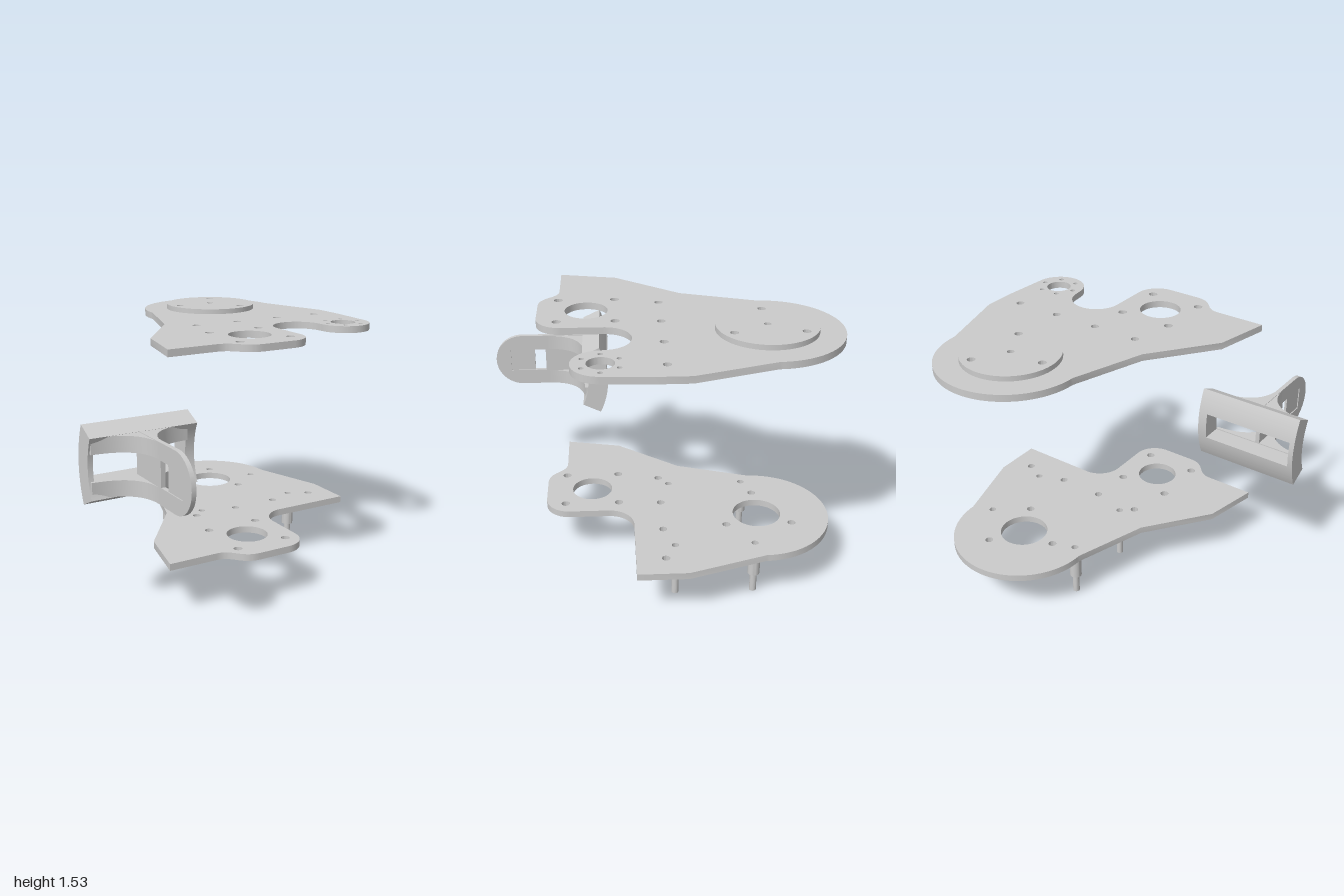
import * as THREE from 'three';
import { toCreasedNormals } from 'three/addons/utils/BufferGeometryUtils.js';

const PI = Math.PI;
const material = new THREE.MeshStandardMaterial({ color: 0xcccccc });

function add(parent, name, geometry) {
  const mesh = new THREE.Mesh(toCreasedNormals(geometry, 0.5), material);
  mesh.name = name;
  parent.add(mesh);
  return mesh;
}

// Shape drawn in (x, z), thickened downwards from yTop
function slab(shape, yTop, thickness) {
  return new THREE.ExtrudeGeometry(shape, { depth: thickness, bevelEnabled: false, curveSegments: 32 })
    .rotateX(PI / 2).translate(0, yTop, 0);
}

// Shape drawn in (z, y), spanning x0 to x1
function sideSlab(shape, x0, x1) {
  return new THREE.ExtrudeGeometry(shape, { depth: x1 - x0, bevelEnabled: false, curveSegments: 32 })
    .rotateY(-PI / 2).translate(x1, 0, 0);
}

function hole(shape, x, y, r) {
  shape.holes.push(new THREE.Path().absarc(x, y, r, 0, 2 * PI, true));
}

function rect(x0, y0, x1, y1) {
  return [[x0, y0], [x1, y0], [x1, y1], [x0, y1]].map(p => new THREE.Vector2(...p));
}

const hub = [0.37, -0.58];
const hubHoles = [1, 3, 5].map(k => [hub[0] + 0.22 * Math.cos(k * PI / 3), hub[1] + 0.22 * Math.sin(k * PI / 3)]);
const posts = [[0.02, -0.08], [0.67, -0.08], [0.02, -0.53], [0.67, -0.53]];

// Plate outline; the upper plate carries an extra round lobe
function plateShape(withLobe) {
  const s = new THREE.Shape();
  s.moveTo(-0.54, 0.55);
  s.lineTo(-0.47, 0.22);
  s.lineTo(-0.19, -0.15);
  s.lineTo(-0.05, -0.58);
  s.absarc(hub[0], hub[1], 0.42, PI, 2 * PI, false);
  s.lineTo(0.93, -0.14);
  if (withLobe) {
    s.lineTo(0.93, 0.05);
    s.lineTo(0.915, 0.31);
    s.absarc(0.76, 0.31, 0.155, 0, PI, false);
    s.absarc(0.4525, 0.295, 0.15, 0, PI, true);
  } else {
    s.lineTo(0.93, 0.145);
    s.absarc(0.4525, 0.295, 0.15, -PI / 2, -PI, true);
  }
  s.absarc(0.1625, 0.525, 0.14, 0, PI / 2, false);
  s.lineTo(-0.03, 0.665);
  s.bezierCurveTo(-0.16, 0.665, -0.14, 0.55, -0.25, 0.55);
  s.closePath();

  hole(s, 0.055, 0.39, 0.12);
  hole(s, hub[0], hub[1], 0.14);
  for (const x of [-0.05, 0.23, 0.51, 0.79]) hole(s, x, -0.02, 0.023);
  for (const x of [-0.108, 0.215]) for (const z of [0.23, 0.55]) hole(s, x, z, 0.025);
  for (const [x, z] of hubHoles) hole(s, x, z, 0.023);
  if (withLobe) {
    hole(s, 0.76, 0.31, 0.073);
    for (let k = 0; k < 6; k++) {
      hole(s, 0.76 + 0.11 * Math.cos(k * PI / 3), 0.31 + 0.11 * Math.sin(k * PI / 3), 0.014);
    }
  } else {
    for (const [x, z] of posts) hole(s, x, z, 0.02);
  }
  return s;
}

// Ring sector in (z, y) between inner and outer radius
function sectorShape(innerFrom, outerFrom, to) {
  const pts = [], n = 16;
  const at = (r, a) => new THREE.Vector2(0.79 - r * Math.cos(a), 0.89 + r * Math.sin(a));
  for (let i = 0; i <= n; i++) pts.push(at(0.51, outerFrom + (to - outerFrom) * i / n));
  for (let i = n; i >= 0; i--) pts.push(at(0.39, innerFrom + (to - innerFrom) * i / n));
  return new THREE.Shape(pts);
}

function createBracket() {
  const bracket = new THREE.Group();
  bracket.name = 'bracket';
  const A = 0.445, ribX = -0.6425;
  const ai = Math.asin(0.08 / 0.39), ao = Math.asin(0.08 / 0.51);

  // Curved frame: two rails and two end walls around the window
  for (const [name, sign] of [['upperRail', 1], ['lowerRail', -1]]) {
    add(bracket, name, sideSlab(sectorShape(sign * ai, sign * ao, sign * A), -0.935, -0.305));
  }
  const wall = sectorShape(-ai, -ao, ai);
  wall.setFromPoints(sectorShape(-ai, -ao, ao).getPoints());
  add(bracket, 'closedEndWall', sideSlab(wall, -0.935, -0.905));
  const drilled = wall.clone();
  hole(drilled, 0.34, 0.89, 0.037);
  add(bracket, 'drilledEndWall', sideSlab(drilled, -0.36, -0.305));

  // Thin upright rib with a round nose, a slot and a recessed panel
  const rib = new THREE.Shape();
  rib.moveTo(0.41, 0.725);
  rib.lineTo(0.832, 0.725);
  rib.absarc(0.832, 0.8925, 0.1675, -PI / 2, PI / 2, false);
  rib.lineTo(0.43, 1.06);
  rib.lineTo(0.405, 0.95);
  rib.lineTo(0.405, 0.83);
  rib.closePath();
  rib.holes.push(new THREE.Path(rect(0.68, 0.82, 0.905, 0.965)));
  add(bracket, 'rib', sideSlab(rib, ribX - 0.013, ribX + 0.013));
  add(bracket, 'ribPanel', sideSlab(new THREE.Shape(rect(0.75, 0.82, 0.905, 0.965)), ribX - 0.007, ribX + 0.007));

  // Flares sweeping from the rails into the rib
  const flare = new THREE.Shape();
  flare.moveTo(-0.925, 0.405);
  flare.lineTo(-0.925, 0.425);
  flare.bezierCurveTo(-0.76, 0.43, -0.66, 0.5, ribX - 0.013, 0.66);
  flare.lineTo(ribX + 0.013, 0.66);
  flare.bezierCurveTo(-0.625, 0.5, -0.525, 0.43, -0.36, 0.425);
  flare.lineTo(-0.36, 0.405);
  flare.closePath();
  add(bracket, 'upperFlare', slab(flare, 1.057, 0.09));
  add(bracket, 'lowerFlare', slab(flare, 0.816, 0.09));
  return bracket;
}

export function createModel() {
  const model = new THREE.Group();
  model.name = 'plateAssembly';

  add(model, 'upperPlate', slab(plateShape(true), 1.5, 0.04));
  add(model, 'lowerPlate', slab(plateShape(false), 0.325, 0.04));

  // Round cover over the hub opening, with a blind centre hole
  const cover = new THREE.Shape().absarc(hub[0], hub[1], 0.28, 0, 2 * PI, false);
  for (const [x, z] of hubHoles) hole(cover, x, z, 0.023);
  hole(cover, hub[0], hub[1], 0.02);
  add(model, 'hubCover', slab(cover, 1.53, 0.03));
  add(model, 'hubPlug', new THREE.CylinderGeometry(0.02, 0.02, 0.012, 24).translate(hub[0], 1.506, hub[1]));

  // Stepped standoffs under the lower plate
  for (const [x, z] of posts) {
    const post = new THREE.Group();
    post.name = 'standoff';
    add(post, 'standoffBody', new THREE.CylinderGeometry(0.035, 0.035, 0.165, 32).translate(0, 0.2025, 0));
    add(post, 'standoffStud', new THREE.CylinderGeometry(0.02, 0.02, 0.12, 24).translate(0, 0.06, 0));
    post.position.set(x, 0, z);
    model.add(post);
  }

  model.add(createBracket());
  return model;
}
